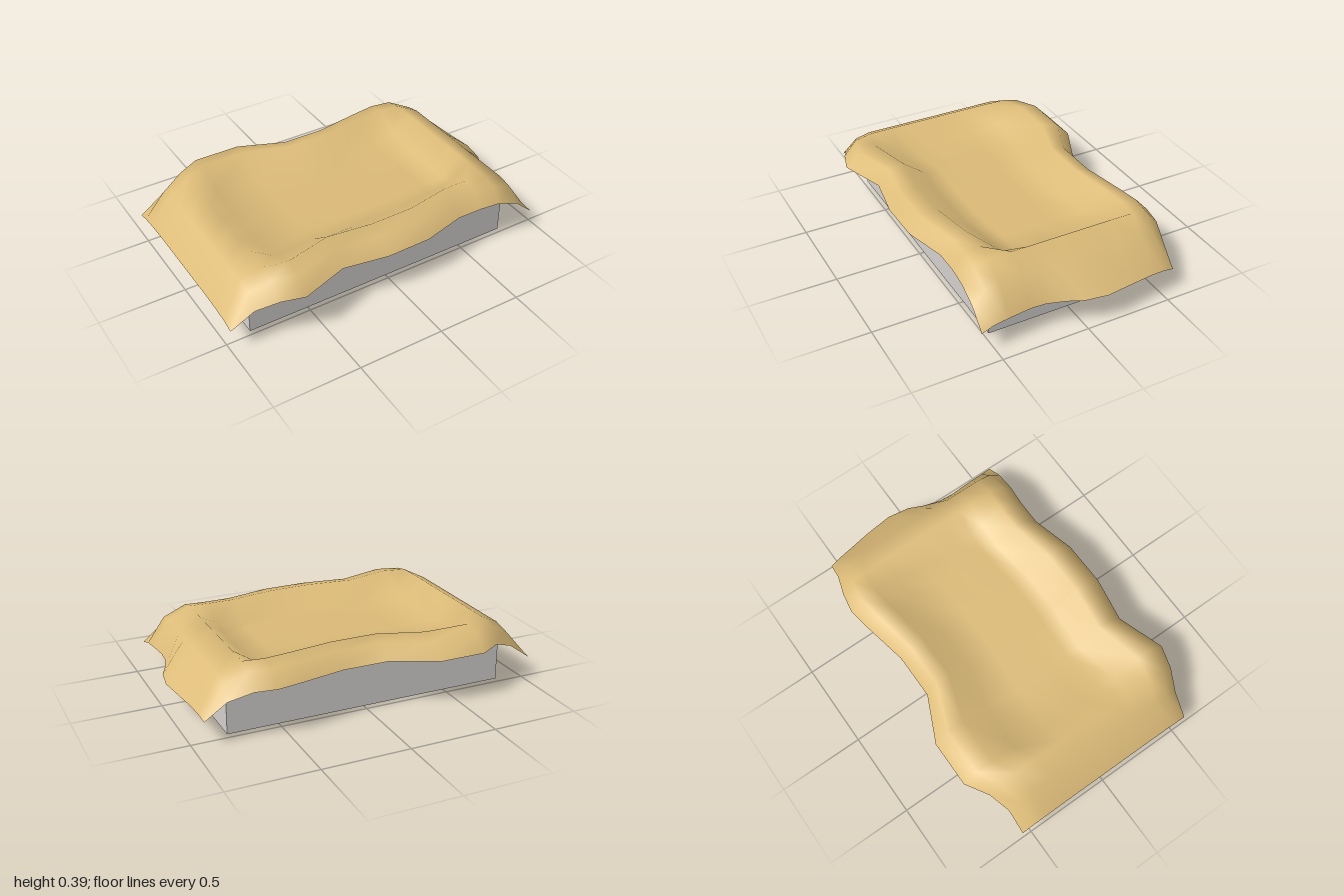
import * as THREE from 'three';

const clothMaterial = new THREE.MeshStandardMaterial({ color: 0xddbc79, side: THREE.DoubleSide });
clothMaterial.name = 'tan cloth';
const boxMaterial = new THREE.MeshStandardMaterial({ color: 0xd6d3d0 });
boxMaterial.name = 'light grey';

// Columns of the cloth from right to left: x position, wavy back hem and front hem
const columnX = [-1, -0.87, -0.75, -0.62, -0.35, -0.09, 0.17, 0.42, 0.57, 0.69, 0.82, 0.94];
const backZ = [0.56, 0.56, 0.6, 0.68, 0.68, 0.56, 0.56, 0.61, 0.635, 0.615, 0.575, 0.56];
const frontZ = [0.565, 0.587, 0.64, 0.678, 0.587, 0.63, 0.625, 0.56, 0.56, 0.57, 0.577, 0.582];
// Rows from back to front as a share of the hem, with the wavy side hem
const rowShare = [-1, -0.88, -0.73, -0.5, -0.2, 0.03, 0.18, 0.35, 0.5, 0.73, 0.88, 1];
const sideX = [0.94, 0.95, 0.96, 0.98, 1, 0.98, 0.94, 0.91, 0.905, 0.915, 0.92, 0.93];
// Height by distance from the end columns (ring) and from the hem rows
const heights = [
  [0.146, 0.163, 0.172, 0.178], // end hem
  [0.238, 0.31, 0.33, 0.33],    // end slope
  [0.284, 0.37, 0.39, 0.392],   // end rim
  [0.286, 0.37, 0.39, 0.284],   // middle, sunken inside the rim
];
const hollowCorner = 0.315;     // the hollow is shallower in its corners

function clothGeometry() {
  const cols = columnX.length, rows = rowShare.length;
  const geometry = new THREE.PlaneGeometry(1, 1, cols - 1, rows - 1);
  const position = geometry.attributes.position;
  for (let j = 0; j < rows; j++) {
    for (let i = 0; i < cols; i++) {
      const ringX = Math.min(i, cols - 1 - i);
      const ringZ = Math.min(j, rows - 1 - j);
      const x = i === cols - 1 ? sideX[j] : columnX[i];
      const y = ringX === 3 && ringZ === 3 ? hollowCorner : heights[Math.min(ringX, 3)][Math.min(ringZ, 3)];
      const z = rowShare[j] * (rowShare[j] < 0 ? backZ[i] : frontZ[i]);
      position.setXYZ(j * cols + i, x, y, z);
    }
  }
  geometry.computeVertexNormals();
  return geometry;
}

export function createModel() {
  const model = new THREE.Group();
  model.name = 'drapedBox';

  // Solid base
  const base = new THREE.Mesh(new THREE.BoxGeometry(1.64, 0.278, 0.936), boxMaterial);
  base.name = 'base';
  base.position.set(-0.03, 0.139, 0.005);
  model.add(base);

  // Sheet with a raised rim and a wavy, drooping hem
  const cloth = new THREE.Mesh(clothGeometry(), clothMaterial);
  cloth.name = 'cloth';
  model.add(cloth);
  return model;
}
